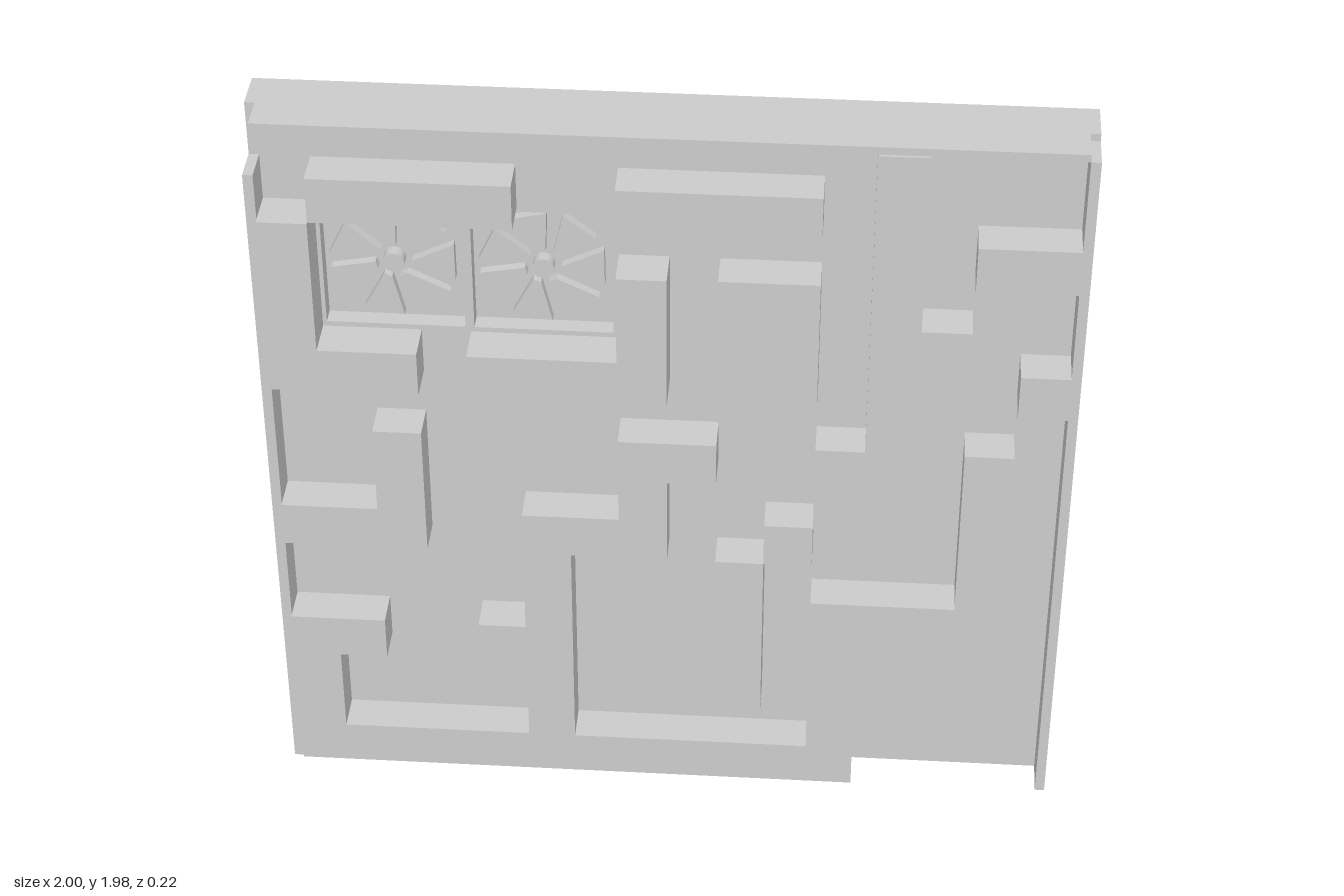
import * as THREE from 'three';

// Plan of the front relief, top row first:
// . floor, # wall, R raised wall round the fans, r rim, f floor of the fan bay
const PLAN = [
  '.rrrrrrrrrrrrrrrr.',
  '.............#...r',
  'r.####..####.#...r',
  'rRffffff.....#.##r',
  'rRffffffR.##.#...r',
  'rRffffffR.##.##..r',
  'rRRR.RRRR.##.#..#r',
  'r............#...r',
  'r..#....##..#..#.r',
  'r..#....#...#..#.r',
  'r###..###..#...#.r',
  'r.....#...#....#.r',
  'r.....#...#.####.r',
  'r##..##...#.#....r',
  'r#....#...#.#....r',
  'r#....#.....#....r',
  'r############....r',
].reverse();
const HEIGHT = { '.': 0, f: 0, '#': 0.1, R: 0.107, r: 0.093 };
const PART = { '.': 'floor', f: 'floor', '#': 'mazeWalls', R: 'fanSurround', r: 'rim' };
const BACK = -0.11, RECESS = -0.045;
const COLS = 18, ROWS = 17;
const xAt = i => (i === 0 ? -1 : i === COLS ? 1 : -0.975 + (i - 1) * 0.1219);
const yAt = j => (j === ROWS ? 1.98 : j * 0.1225);

const material = new THREE.MeshStandardMaterial({ color: 0xcccccc, side: THREE.DoubleSide });

function addMesh(group, name, geometry) {
  const mesh = new THREE.Mesh(geometry, material);
  mesh.name = name;
  group.add(mesh);
  return mesh;
}

// Adds a four-cornered face, corners counter-clockwise from its front
const quad = (list, a, b, c, d) => list.push(...a, ...b, ...c, ...a, ...c, ...d);

function fromQuads(list) {
  const geometry = new THREE.BufferGeometry();
  geometry.setAttribute('position', new THREE.Float32BufferAttribute(list, 3));
  geometry.computeVertexNormals();
  return geometry;
}

// Sheet relief: a cap for each cell and a step wherever a neighbour is lower
function addRelief(group) {
  const faces = { floor: [], mazeWalls: [], fanSurround: [], rim: [], casing: [] };
  const heightAt = (i, j) => {
    if (j < 0) return 0; // the underside stays open below floor level
    if (i < 0 || i >= COLS || j >= ROWS) return BACK;
    return HEIGHT[PLAN[j][i]];
  };
  for (let j = 0; j < ROWS; j++) {
    for (let i = 0; i < COLS; i++) {
      const kind = PLAN[j][i], list = faces[PART[kind]], h = HEIGHT[kind];
      const x0 = xAt(i), x1 = xAt(i + 1), y0 = yAt(j), y1 = yAt(j + 1);
      if (kind !== 'f') quad(list, [x0, y0, h], [x1, y0, h], [x1, y1, h], [x0, y1, h]);
      const sides = [
        [1, 0, x1, y0, x1, y1], [-1, 0, x0, y1, x0, y0],
        [0, 1, x1, y1, x0, y1], [0, -1, x0, y0, x1, y0],
      ];
      for (const [di, dj, ax, ay, bx, by] of sides) {
        const low = heightAt(i + di, j + dj);
        if (low < h) quad(low === BACK ? faces.casing : list,
          [ax, ay, low], [bx, by, low], [bx, by, h], [ax, ay, h]);
      }
    }
  }
  // Back panel
  quad(faces.casing, [1, 0, BACK], [-1, 0, BACK], [-1, 1.98, BACK], [1, 1.98, BACK]);
  for (const [name, list] of Object.entries(faces)) addMesh(group, name, fromQuads(list));
}

// Corners of a rectangle, counter-clockwise
const rect = (x0, y0, x1, y1) => [[x0, y0], [x1, y0], [x1, y1], [x0, y1]]
  .map(([x, y]) => new THREE.Vector2(x, y));

function addFan(group, name, cx, cy, half) {
  const fan = new THREE.Group();
  fan.name = name;
  fan.position.set(cx, cy, RECESS);
  group.add(fan);

  // Square recess
  const list = [], c = rect(-half, -half, half, half), d = -RECESS;
  quad(list, ...c.map(p => [p.x, p.y, 0]));
  c.forEach((p, k) => {
    const q = c[(k + 1) % 4];
    quad(list, [q.x, q.y, 0], [p.x, p.y, 0], [p.x, p.y, d], [q.x, q.y, d]);
  });
  addMesh(fan, 'fanRecess', fromQuads(list));

  // Hub
  const hub = addMesh(fan, 'fanHub', new THREE.CylinderGeometry(0.027, 0.027, 0.03, 16));
  hub.rotation.x = Math.PI / 2;
  hub.position.z = 0.015;

  // Seven wedge blades
  const polar = (r, deg) => new THREE.Vector2(r, 0)
    .rotateAround(new THREE.Vector2(), THREE.MathUtils.degToRad(deg));
  const blade = new THREE.ExtrudeGeometry(
    new THREE.Shape([polar(0.045, 82), polar(0.156, 86), polar(0.158, 123), polar(0.045, 108)]),
    { depth: 0.024, bevelEnabled: false });
  for (let k = 0; k < 7; k++) {
    addMesh(fan, 'fanBlade', blade).rotation.z = -k * Math.PI * 2 / 7;
  }
}

export function createModel() {
  const model = new THREE.Group();
  model.name = 'mazePanel';
  addRelief(model);

  // Fan bay floor with two square openings
  const half = 0.171, cy = 1.532, centres = [-0.672, -0.308];
  const bay = new THREE.Shape(rect(xAt(2), yAt(11), xAt(8), yAt(14)));
  for (const cx of centres) {
    bay.holes.push(new THREE.Path(rect(cx - half, cy - half, cx + half, cy + half).reverse()));
  }
  addMesh(model, 'fanBayFloor', new THREE.ShapeGeometry(bay));
  centres.forEach((cx, k) => addFan(model, k ? 'innerFan' : 'outerFan', cx, cy, half));
  return model;
}
